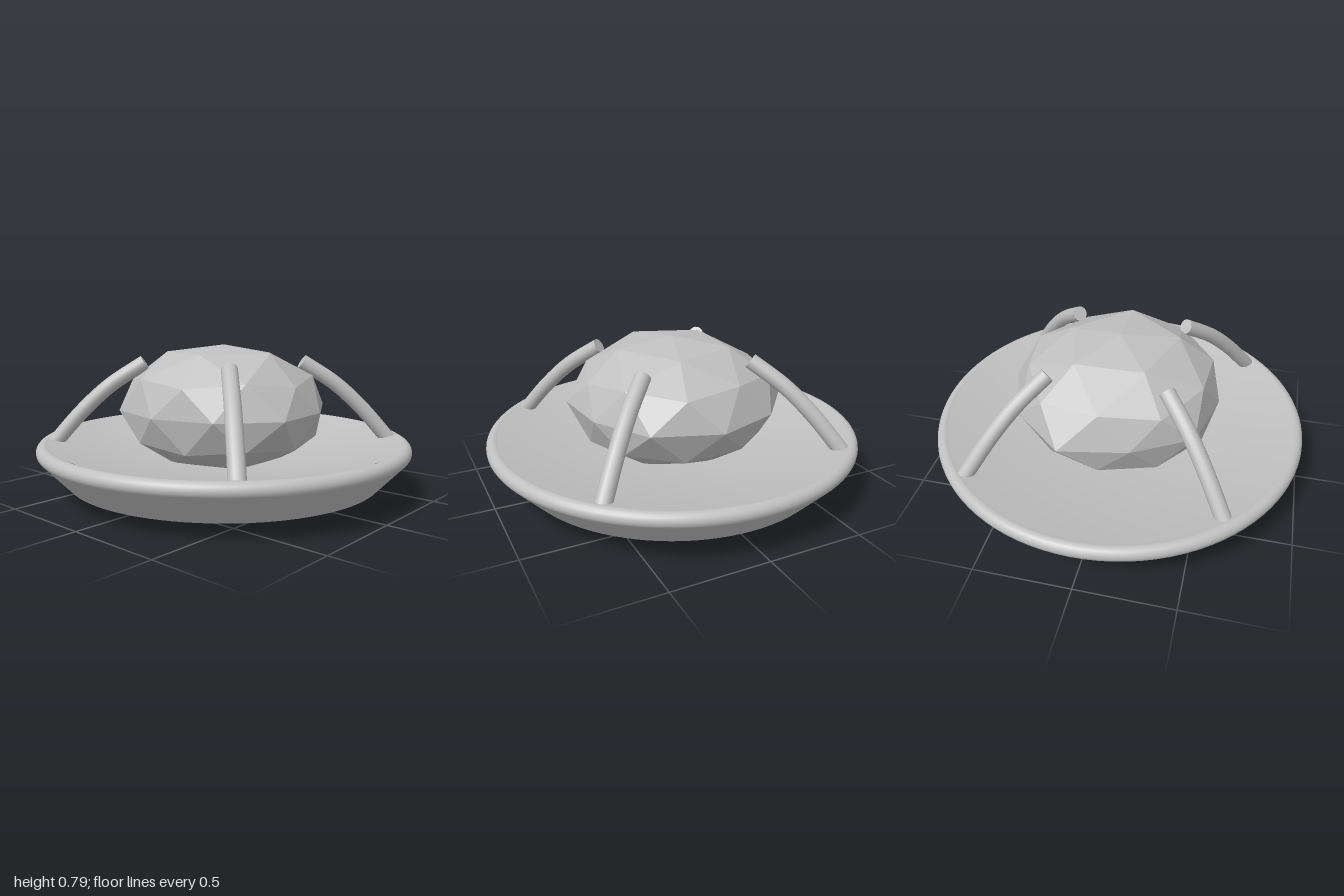
import * as THREE from 'three';

const SEGMENTS = 96;

export function createModel() {
  const silver = new THREE.MeshStandardMaterial({ color: 0xc0c0c0 });
  silver.name = 'silver';
  const model = new THREE.Group();
  model.name = 'crystalDish';

  const add = (name, geometry, parent = model) => {
    const mesh = new THREE.Mesh(geometry, silver);
    mesh.name = name;
    parent.add(mesh);
    return mesh;
  };
  const lathe = (name, ...points) => add(name,
    new THREE.LatheGeometry(points.map(([r, y]) => new THREE.Vector2(r, y)), SEGMENTS));

  // Foot and hull, one lathe per face so the edges stay sharp
  lathe('footBase', [0, 0], [0.465, 0]);
  lathe('footSide', [0.465, 0], [0.47, 0.045]);
  lathe('hullUnderside', [0.46, 0.04], [0.845, 0.07]);
  lathe('hullSide', [0.845, 0.07], [0.988, 0.222]);

  // Shallow hollow inside the dish
  const hollow = [];
  for (let i = 0; i <= 12; i++) {
    const r = 0.945 * (1 - i / 12);
    hollow.push([r, 0.17 + 0.117 * (r / 0.945) ** 2]);
  }
  lathe('dishInside', ...hollow);

  // Round rim
  const rim = new THREE.TorusGeometry(0.96, 0.04, 20, SEGMENTS);
  rim.rotateX(Math.PI / 2).translate(0, 0.25, 0);
  add('rim', rim);

  // Faceted stone: a flattened icosphere on its pole, with uneven radii per ring
  const stone = new THREE.IcosahedronGeometry(1, 1).toNonIndexed();
  stone.rotateZ(-Math.atan(2 / (1 + Math.sqrt(5))));
  const crown = [1.06, 1.06, 1.05, 1.02, 1.0];
  const shoulder = [0.95, 1.0, 1.0, 1.02, 1.0, 1.0, 1.03, 1.0, 1.04, 1.0];
  const girdle = [1.02, 0.97, 0.96, 1.01, 0.94, 1.07, 1.02, 1.04, 1.02, 0.96];
  const pos = stone.attributes.position;
  const v = new THREE.Vector3();
  for (let i = 0; i < pos.count; i++) {
    v.fromBufferAttribute(pos, i);
    const turn = (Math.atan2(v.z, v.x) / (Math.PI * 2) + 1) % 1;
    let size = 1;
    if (v.y > 0.95) size = 1.01;
    else if (v.y > 0.7) size = crown[Math.round(turn * 5) % 5];
    else if (v.y > 0.2) size = shoulder[Math.round(turn * 10) % 10];
    else if (v.y > -0.2) size = girdle[Math.round(turn * 10 - 0.5) % 10];
    v.multiplyScalar(size * 0.56);
    pos.setXYZ(i, v.x, 0.45 + v.y * 0.6, v.z);
  }
  stone.computeVertexNormals();
  add('stone', stone);

  // Four bent prongs on the diagonals, leaning in over the stone
  const path = new THREE.CatmullRomCurve3([
    [0.93, 0.25], [0.76, 0.44], [0.61, 0.575], [0.425, 0.695],
  ].map(([r, y]) => new THREE.Vector3(r, y, 0)));
  const prongTube = new THREE.TubeGeometry(path, 20, 0.041, 16);
  const capGeometry = new THREE.CircleGeometry(0.041, 16);
  for (let i = 0; i < 4; i++) {
    const prong = new THREE.Group();
    prong.name = 'prong' + (i + 1);
    add('prongRod', prongTube, prong);
    for (const [name, t, sign] of [['prongFoot', 0, -1], ['prongTip', 1, 1]]) {
      const cap = add(name, capGeometry, prong);
      cap.position.copy(path.getPointAt(t));
      cap.quaternion.setFromUnitVectors(new THREE.Vector3(0, 0, 1),
        path.getTangentAt(t).multiplyScalar(sign));
    }
    prong.rotation.y = Math.PI / 4 + i * Math.PI / 2;
    model.add(prong);
  }

  return model;
}
